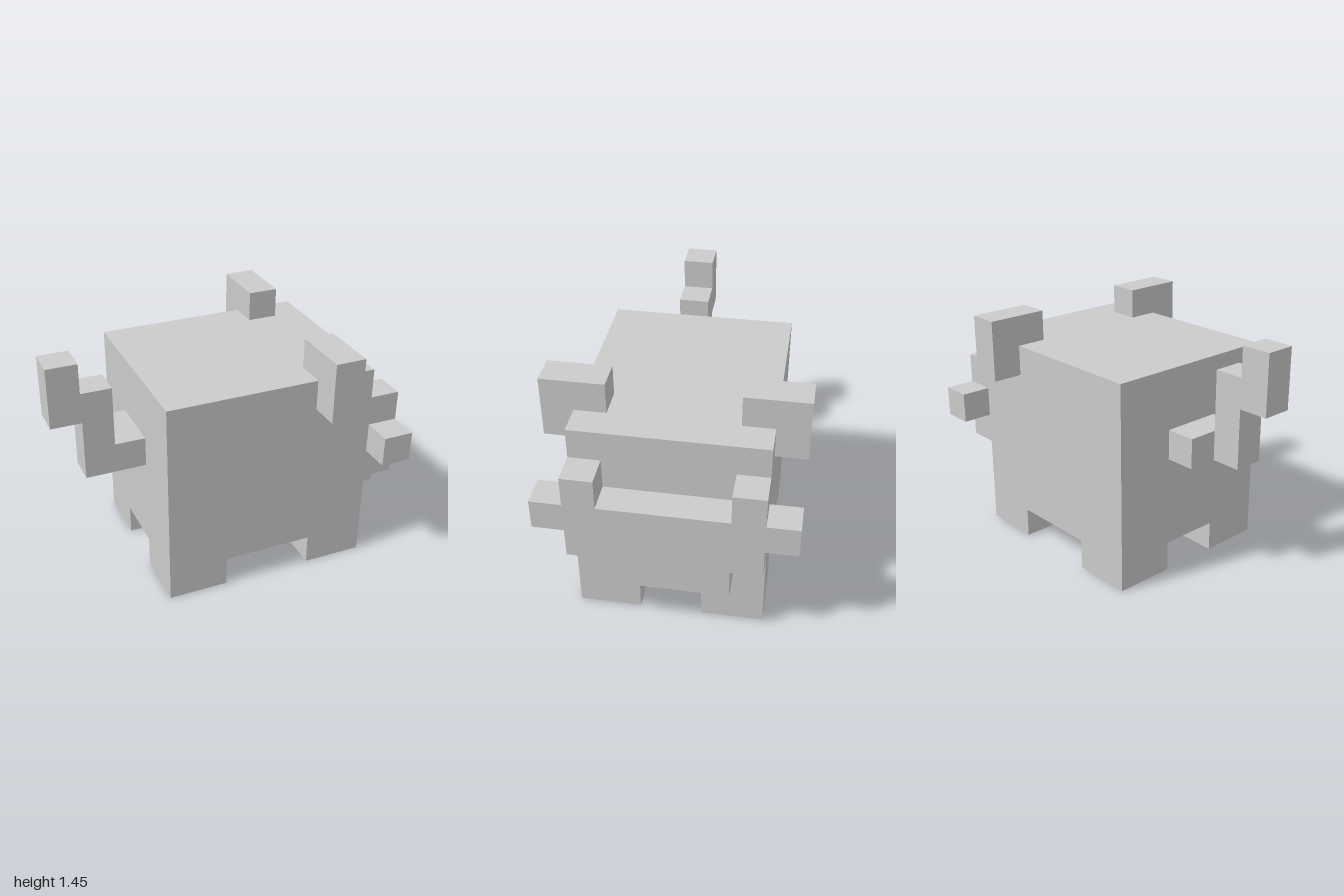
import * as THREE from 'three';

const U = 2 / 11; // one grid cell
const material = new THREE.MeshStandardMaterial({ color: 0xcccccc, flatShading: true });

// Box from minimum to maximum corner, in cells; x = 0 is the tail tip
function block(name, [x0, y0, z0], [x1, y1, z1]) {
  const geometry = new THREE.BoxGeometry((x1 - x0) * U, (y1 - y0) * U, (z1 - z0) * U);
  const mesh = new THREE.Mesh(geometry, material);
  mesh.name = name;
  mesh.position.set(((x0 + x1) / 2 - 5.5) * U, ((y0 + y1) / 2) * U, ((z0 + z1) / 2) * U);
  return mesh;
}

// Stepped face plate with raised cheeks and side whiskers: half outline, mirrored
function facePlate() {
  const half = [[2, 2], [2, 3], [3, 3], [3, 4], [4, 4], [4, 5], [3, 5], [3, 6], [2, 6], [2, 5]];
  const outline = [...half, ...half.map(([z, y]) => [-z, y]).reverse()];
  const shape = new THREE.Shape(outline.map(([z, y]) => new THREE.Vector2(z * U, y * U)));
  const geometry = new THREE.ExtrudeGeometry(shape, { depth: U, bevelEnabled: false });
  geometry.rotateY(Math.PI / 2);
  const mesh = new THREE.Mesh(geometry, material);
  mesh.name = 'facePlate';
  mesh.position.x = 4.5 * U;
  return mesh;
}

export function createModel() {
  const model = new THREE.Group();
  model.name = 'blockAnimal';
  model.add(block('body', [3, 1, -3], [10, 7, 3]), facePlate());

  // Legs and ears on both sides
  for (const [side, s] of [['left', 1], ['right', -1]]) {
    const span = (a, b) => (s > 0 ? [a, b] : [-b, -a]);
    const [l0, l1] = span(1, 3);
    const [e0, e1] = span(2, 4);
    model.add(
      block(side + 'HeadEndLeg', [8, 0, l0], [10, 1, l1]),
      block(side + 'TailEndLeg', [3, 0, l0], [5, 1, l1]),
      block(side + 'Ear', [8, 6, e0], [9, 8, e1]),
    );
  }

  // Stepped tail
  const tail = new THREE.Group();
  tail.name = 'tail';
  tail.add(
    block('tailBase', [2, 4, -1], [3, 5, 1]),
    block('tailMiddle', [1, 4, 0], [2, 7, 1]),
    block('tailTip', [0, 6, 0], [1, 8, 1]),
  );
  model.add(tail);
  return model;
}
